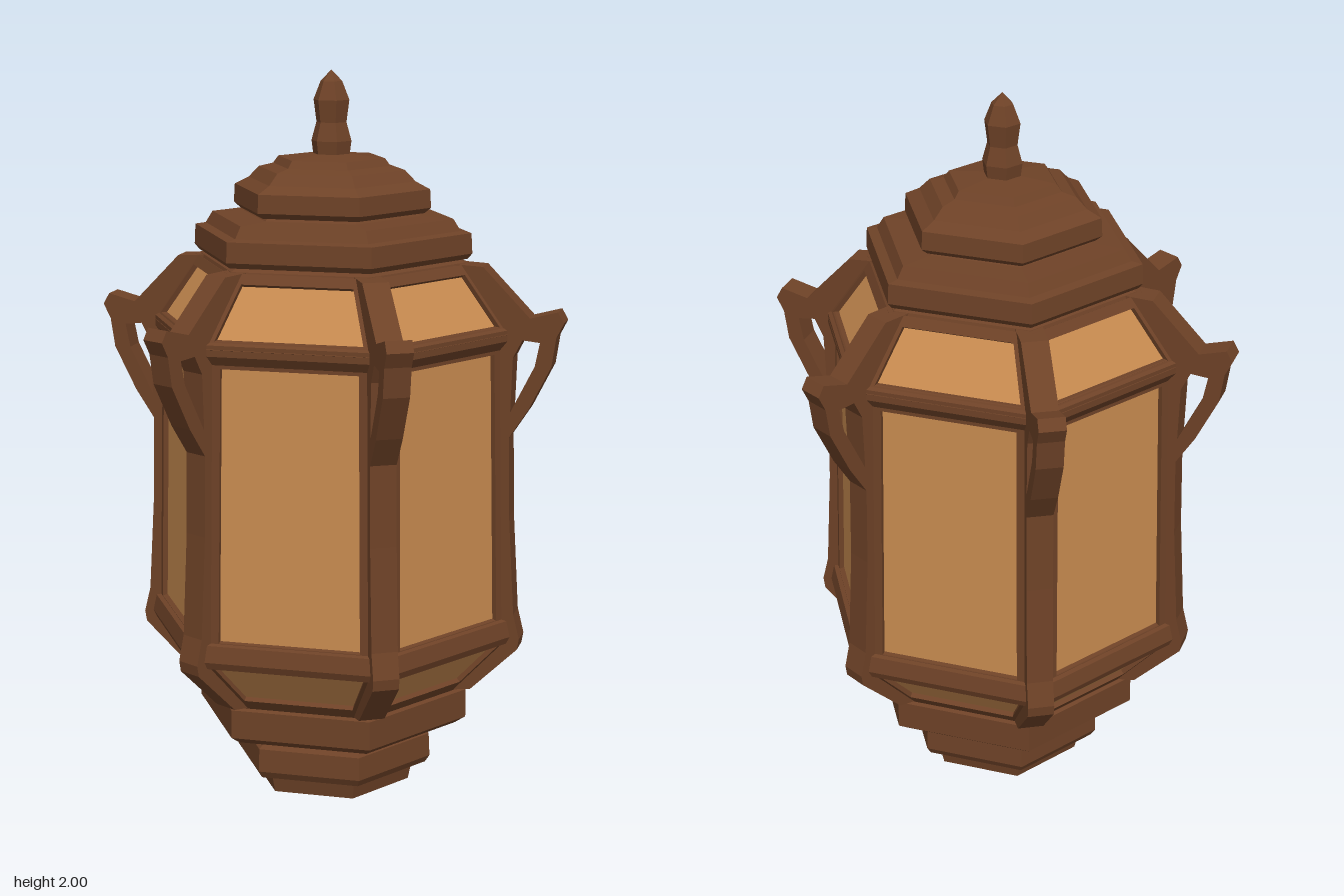
import * as THREE from 'three';

const SIXTH = Math.PI / 3;
const APOTHEM = Math.cos(Math.PI / 6);

const wood = new THREE.MeshStandardMaterial({ color: 0x6e4227 });
wood.name = 'dark wood';
const glass = new THREE.MeshStandardMaterial({ color: 0xc88b50 });
glass.name = 'amber glass';

const vectors = (points) => points.map(([x, y]) => new THREE.Vector2(x, y));

// Gives every face its own flat normal
function faceted(geometry) {
  const flat = geometry.index ? geometry.toNonIndexed() : geometry;
  flat.computeVertexNormals();
  return flat;
}

function addMesh(parent, name, geometry, material) {
  const mesh = new THREE.Mesh(geometry, material);
  mesh.name = name;
  parent.add(mesh);
  return mesh;
}

// Six-sided turned solid with corners on the x axis; profile runs upward as [radius, y]
function hexSolid(parent, name, profile) {
  const geometry = new THREE.LatheGeometry(vectors(profile), 6, Math.PI / 2);
  return addMesh(parent, name, faceted(geometry), wood);
}

function extrude(shape, depth, offset) {
  const geometry = new THREE.ExtrudeGeometry(shape, { depth, bevelEnabled: false });
  geometry.translate(0, 0, offset);
  return geometry;
}

// One band of six framed panes between two hexagons of corner radius r0 and r1
function paneBand(parent, name, r0, y0, r1, y1, side, bottom, top) {
  const up = new THREE.Vector3(0, y1 - y0, (r1 - r0) * APOTHEM);
  const h = up.length();
  up.normalize();
  const right = new THREE.Vector3(1, 0, 0);
  const placement = new THREE.Matrix4()
    .makeBasis(right, up, new THREE.Vector3().crossVectors(right, up))
    .setPosition(0, y0, r0 * APOTHEM);

  const half = (t) => (r0 + (r1 - r0) * (t / h)) / 2;
  const quad = (inset, lo, hi) => vectors([
    [-half(lo) + inset, lo], [half(lo) - inset, lo],
    [half(hi) - inset, hi], [-half(hi) + inset, hi],
  ]);
  const frameShape = new THREE.Shape(quad(0, 0, h));
  frameShape.holes.push(new THREE.Path(quad(side, bottom, h - top)));
  const frame = extrude(frameShape, 0.032, -0.026).applyMatrix4(placement);
  const pane = extrude(new THREE.Shape(quad(0.01, 0.005, h - 0.005)), 0.008, -0.016)
    .applyMatrix4(placement);

  for (let i = 0; i < 6; i++) {
    const bay = new THREE.Group();
    bay.name = name + 'Bay';
    bay.rotation.y = i * SIXTH;
    addMesh(bay, name + 'Frame', frame, wood);
    addMesh(bay, name + 'Pane', pane, glass);
    parent.add(bay);
  }
}

export function createModel() {
  const lantern = new THREE.Group();
  lantern.name = 'hexagonalLantern';

  // Stepped foot and lower tier
  hexSolid(lantern, 'foot', [
    [0, 0], [0.225, 0], [0.235, 0.045], [0.275, 0.055], [0.288, 0.075],
    [0.285, 0.14], [0.265, 0.155], [0, 0.155],
  ]);
  hexSolid(lantern, 'footNeck', [[0, 0.15], [0.18, 0.15], [0.18, 0.19], [0, 0.19]]);
  hexSolid(lantern, 'lowerTier', [
    [0, 0.175], [0.36, 0.18], [0.39, 0.2], [0.39, 0.28], [0.36, 0.3], [0, 0.3],
  ]);

  // Glazed bands: flared bowl, tall body, sloping shoulder
  paneBand(lantern, 'bowl', 0.37, 0.285, 0.525, 0.45, 0.05, 0.045, 0.015);
  paneBand(lantern, 'body', 0.51, 0.46, 0.492, 1.3, 0.06, 0.045, 0.05);
  paneBand(lantern, 'shoulder', 0.515, 1.3, 0.385, 1.485, 0.05, 0.025, 0.03);

  // Rails where the bands meet
  hexSolid(lantern, 'lowerRail', [
    [0.46, 0.435], [0.53, 0.435], [0.54, 0.455], [0.53, 0.5], [0.5, 0.508], [0.46, 0.508],
  ]);
  hexSolid(lantern, 'upperRail', [
    [0.45, 1.255], [0.5, 1.26], [0.52, 1.285], [0.52, 1.315], [0.5, 1.325], [0.45, 1.325],
  ]);

  // Corner ribs, each with a pierced ear near the top
  const ribShape = new THREE.Shape(vectors([
    [0.33, 0.285], [0.41, 0.295], [0.54, 0.42], [0.545, 0.45], [0.528, 0.52], [0.512, 0.8],
    [0.508, 1.02], [0.56, 1.1], [0.62, 1.22], [0.632, 1.3], [0.652, 1.34], [0.635, 1.37],
    [0.56, 1.35], [0.43, 1.485], [0.34, 1.49], [0.36, 1.44], [0.45, 1.32], [0.45, 0.5],
  ]));
  ribShape.holes.push(new THREE.Path(vectors([
    [0.51, 1.09], [0.575, 1.22], [0.588, 1.285], [0.54, 1.29], [0.515, 1.24],
  ])));
  const rib = extrude(ribShape, 0.072, -0.036);
  for (let i = 0; i < 6; i++) {
    addMesh(lantern, 'cornerRib', rib, wood).rotation.y = i * SIXTH;
  }

  // Stepped roof
  hexSolid(lantern, 'roofNeck', [[0, 1.465], [0.385, 1.465], [0.375, 1.49], [0.33, 1.51], [0, 1.51]]);
  hexSolid(lantern, 'roofTier', [
    [0, 1.5], [0.38, 1.5], [0.393, 1.515], [0.39, 1.57], [0.36, 1.575],
    [0.34, 1.607], [0.25, 1.612], [0.23, 1.63], [0, 1.63],
  ]);
  hexSolid(lantern, 'cap', [
    [0, 1.618], [0.26, 1.62], [0.278, 1.635], [0.275, 1.685], [0.235, 1.705],
    [0.205, 1.735], [0.165, 1.745], [0.15, 1.765], [0.05, 1.775], [0, 1.775],
  ]);

  // Pointed finial
  hexSolid(lantern, 'finial', [
    [0, 1.765], [0.05, 1.765], [0.056, 1.81], [0.042, 1.86], [0.05, 1.92],
    [0.03, 1.97], [0, 2],
  ]);

  return lantern;
}
